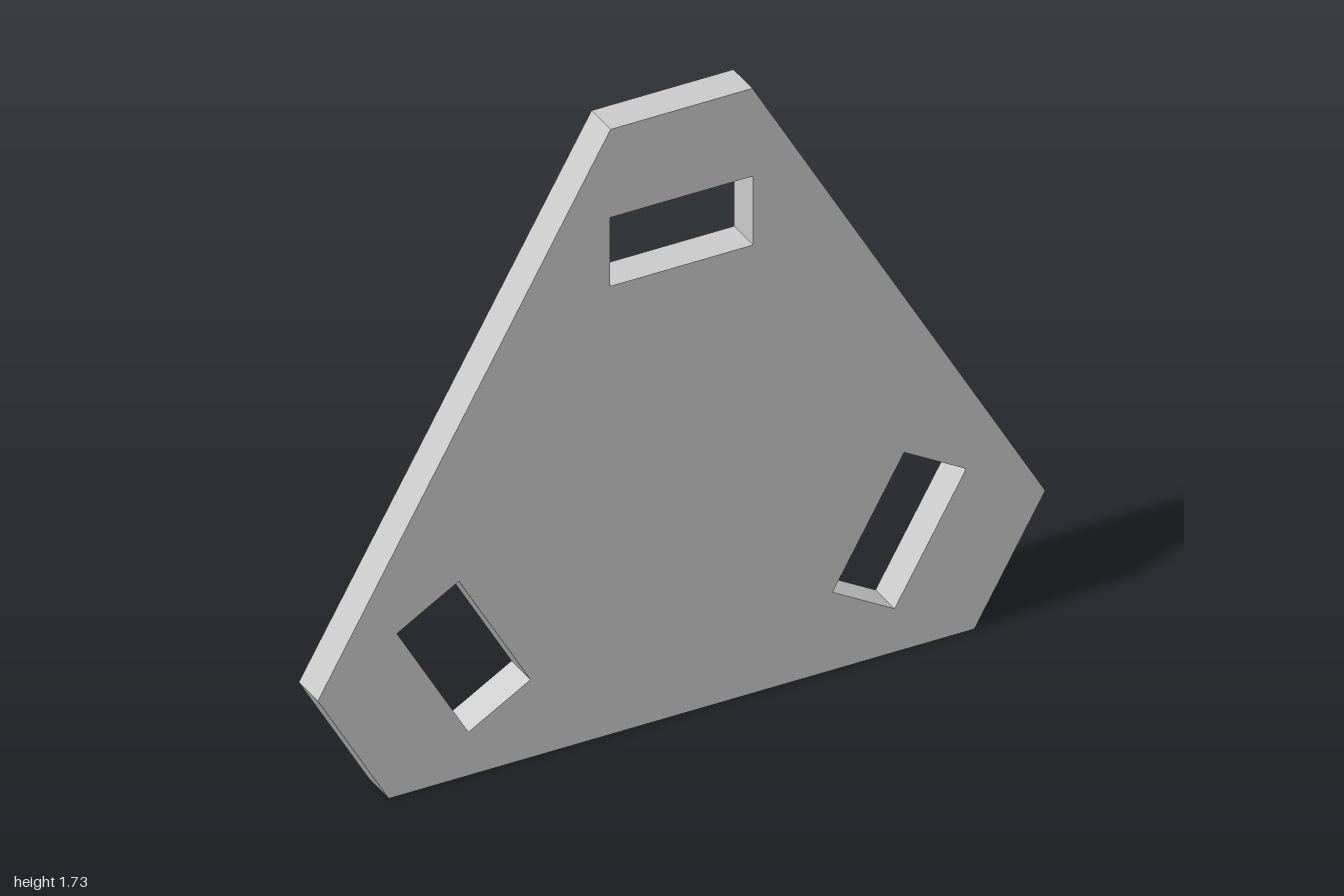
import * as THREE from 'three';

const HALF_TIP = 0.195;    // half length of each cut corner
const TIP = 1.042;         // centre to cut corner
const INRADIUS = 0.69;     // centre to long edge
const SLOT = { half: 0.197, inner: 0.593, outer: 0.79 };
const THICKNESS = 0.097;

// Repeats a few points in each of the three arms
const arms = [0, 1, 2].map((i) => (i * Math.PI * 2) / 3);
const spin = (points, angle) =>
  points.map(([x, y]) => new THREE.Vector2(x, y).rotateAround(new THREE.Vector2(), angle));

export function createModel() {
  const group = new THREE.Group();
  group.name = 'slottedPlate';

  // Triangle outline with cut corners
  const outline = new THREE.Shape(
    arms.flatMap((a) => spin([[HALF_TIP, TIP], [-HALF_TIP, TIP]], a))
  );

  // One rectangular slot near each corner
  const { half, inner, outer } = SLOT;
  for (const a of arms) {
    outline.holes.push(
      new THREE.Path(spin([[-half, inner], [-half, outer], [half, outer], [half, inner]], a))
    );
  }

  // Flat plate standing on its lower long edge
  const geometry = new THREE.ExtrudeGeometry(outline, { depth: THICKNESS, bevelEnabled: false });
  geometry.translate(0, INRADIUS, -THICKNESS / 2);
  const plate = new THREE.Mesh(
    geometry,
    new THREE.MeshStandardMaterial({ color: 0xcccccc, flatShading: true })
  );
  plate.name = 'plate';
  group.add(plate);

  return group;
}
